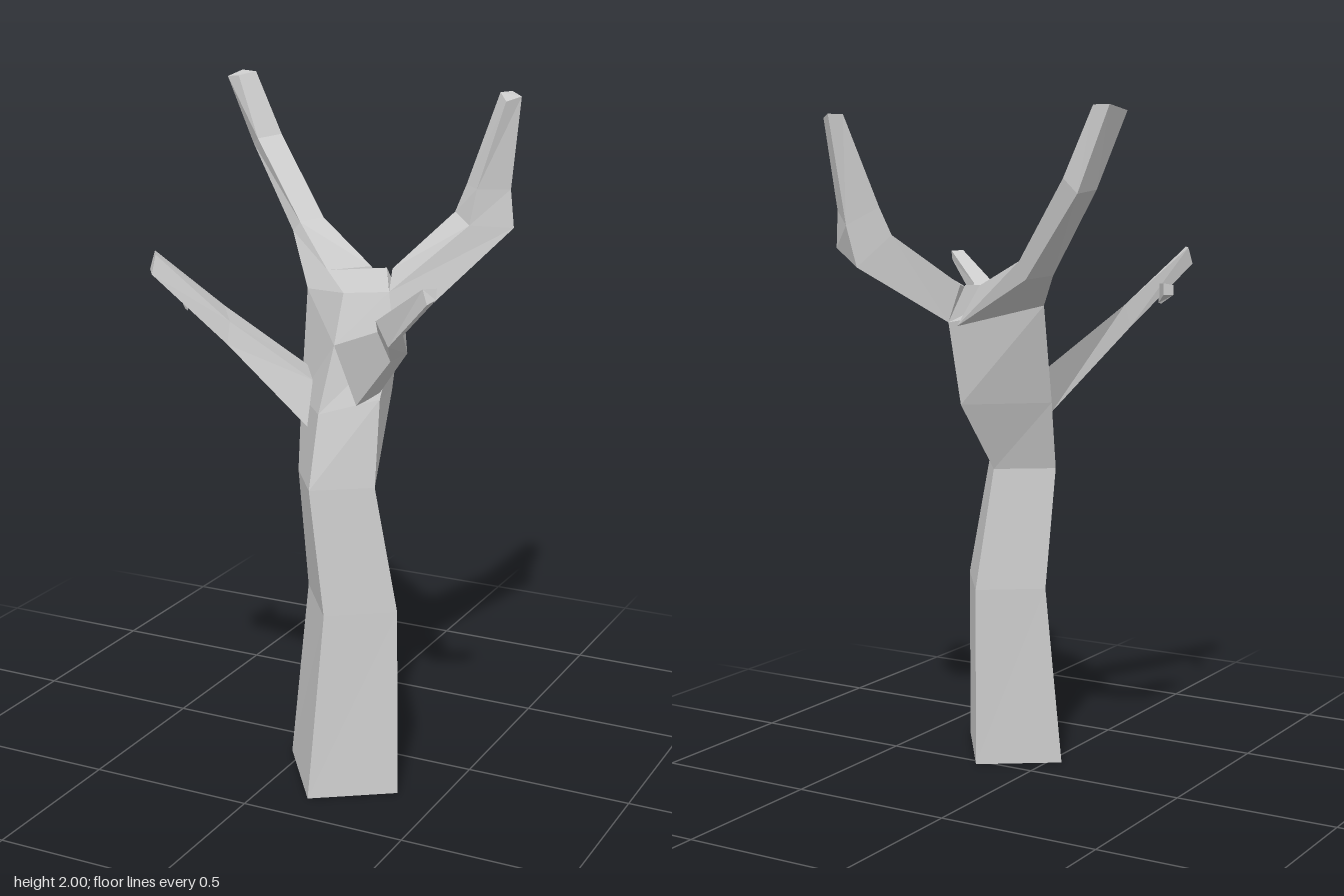
import * as THREE from 'three';

const bark = new THREE.MeshStandardMaterial({ color: 0xcccccc, flatShading: true });

// Skins a chain of four-cornered rings, caps both ends and faces the skin outwards.
function limb(name, rings) {
  const tris = [];
  const quad = (a, b, c, d) => tris.push([a, b, c], [a, c, d]);
  for (let i = 0; i < rings.length - 1; i++) {
    const p = rings[i], q = rings[i + 1];
    for (let k = 0; k < 4; k++) {
      const n = (k + 1) % 4;
      quad(p[k], p[n], q[n], q[k]);
    }
  }
  const [a, b, c, d] = rings[0];
  quad(d, c, b, a);
  quad(...rings[rings.length - 1]);

  let volume = 0;
  const v = (p) => new THREE.Vector3(...p);
  for (const [p, q, r] of tris) volume += v(p).dot(v(q).cross(v(r)));
  if (volume < 0) tris.forEach((t) => t.reverse());

  const geometry = new THREE.BufferGeometry();
  geometry.setAttribute('position', new THREE.Float32BufferAttribute(tris.flat(2), 3));
  geometry.computeVertexNormals();
  const mesh = new THREE.Mesh(geometry, bark);
  mesh.name = name;
  return mesh;
}

export function createModel() {
  const group = new THREE.Group();
  group.name = 'bareTree';

  // Trunk corners run front, left side, back, right side
  group.add(limb('trunk', [
    [[0.15, 0, 0.39], [0.37, 0, 0.24], [0.18, 0, -0.03], [-0.04, 0, 0.12]],
    [[0.17, 0.55, 0.325], [0.345, 0.55, 0.2], [0.185, 0.55, -0.02], [0.01, 0.55, 0.105]],
    [[0.12, 0.92, 0.32], [0.275, 0.92, 0.21], [0.155, 0.92, 0.04], [0, 0.92, 0.15]],
    [[0.12, 1.13, 0.26], [0.27, 1.17, 0.17], [0.19, 1.13, -0.09], [-0.02, 1.13, 0.09]],
    [[0.14, 1.32, 0.2], [0.28, 1.33, 0.1], [0.2, 1.38, -0.14], [-0.045, 1.43, 0]],
    [[0.14, 1.46, 0.14], [0.25, 1.46, 0.07], [0.16, 1.49, -0.11], [0.02, 1.49, 0]],
  ]));

  // Long branch to the back right
  group.add(limb('backRightBranch', [
    [[0.11, 1.49, -0.11], [0.02, 1.49, 0], [-0.045, 1.43, 0], [0.17, 1.37, -0.14]],
    [[-0.16, 1.58, -0.335], [-0.21, 1.57, -0.275], [-0.24, 1.54, -0.285], [-0.19, 1.53, -0.35]],
    [[-0.37, 1.81, -0.46], [-0.42, 1.8, -0.395], [-0.455, 1.78, -0.43], [-0.43, 1.77, -0.49]],
    [[-0.465, 2, -0.47], [-0.5, 1.99, -0.42], [-0.545, 1.985, -0.43], [-0.53, 2, -0.5]],
  ]));

  // Thick upturned branch to the back left
  group.add(limb('backLeftBranch', [
    [[0.18, 1.49, -0.105], [0.25, 1.46, 0.07], [0.28, 1.33, 0.1], [0.2, 1.38, -0.14]],
    [[0.3, 1.64, -0.285], [0.385, 1.62, -0.19], [0.475, 1.6, -0.315], [0.35, 1.55, -0.39]],
    [[0.325, 1.72, -0.31], [0.39, 1.72, -0.23], [0.455, 1.71, -0.335], [0.375, 1.67, -0.405]],
    [[0.395, 1.985, -0.385], [0.435, 1.965, -0.33], [0.46, 1.975, -0.39], [0.415, 1.985, -0.43]],
  ]));

  // Straight branch to the front right
  group.add(limb('frontRightBranch', [
    [[0.01, 1.23, 0.11], [0.07, 1.21, 0.195], [0.085, 1.09, 0.26], [0.03, 1.09, 0.18]],
    [[-0.17, 1.42, 0.275], [-0.12, 1.39, 0.335], [-0.115, 1.33, 0.36], [-0.18, 1.35, 0.29]],
    [[-0.315, 1.59, 0.41], [-0.28, 1.59, 0.465], [-0.275, 1.54, 0.495], [-0.32, 1.54, 0.43]],
  ]));

  // Small twig on the front right branch
  group.add(limb('twig', [
    [[-0.25, 1.48, 0.36], [-0.23, 1.48, 0.38], [-0.23, 1.42, 0.38], [-0.25, 1.42, 0.36]],
    [[-0.335, 1.485, 0.27], [-0.312, 1.49, 0.25], [-0.312, 1.455, 0.25], [-0.335, 1.455, 0.27]],
  ]));

  // Crooked branch to the front left
  group.add(limb('frontLeftBranch', [
    [[0.14, 1.32, 0.2], [0.28, 1.33, 0.1], [0.26, 1.18, 0.16], [0.215, 1.155, 0.21]],
    [[0.305, 1.39, 0.265], [0.365, 1.41, 0.215], [0.38, 1.33, 0.23], [0.345, 1.31, 0.265]],
    [[0.355, 1.45, 0.385], [0.415, 1.46, 0.345], [0.42, 1.41, 0.35], [0.39, 1.38, 0.38]],
    [[0.51, 1.56, 0.43], [0.54, 1.56, 0.405], [0.54, 1.53, 0.41], [0.525, 1.52, 0.435]],
  ]));

  return group;
}
